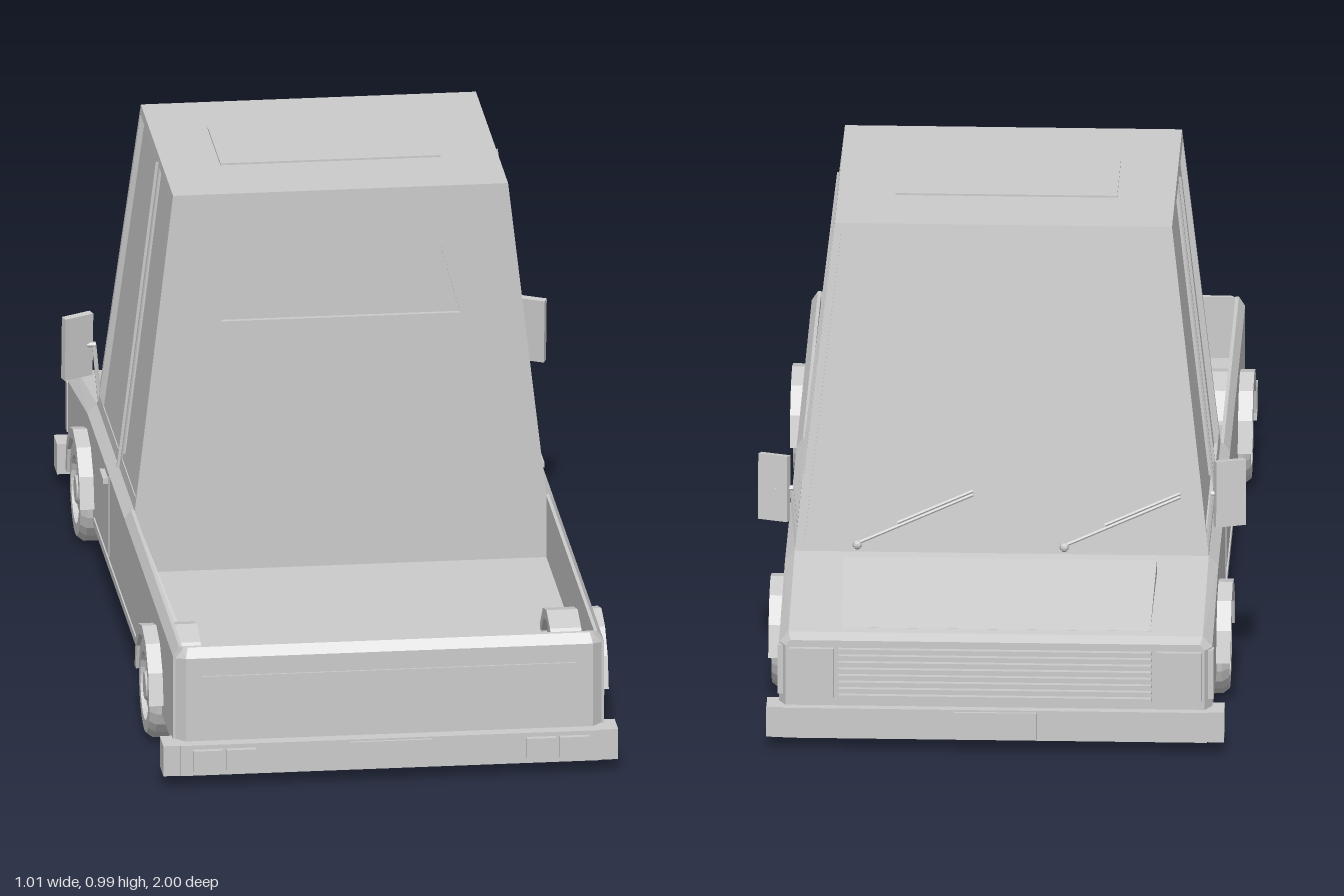
import * as THREE from 'three';
import { ConvexGeometry } from 'three/addons/geometries/ConvexGeometry.js';

const material = new THREE.MeshStandardMaterial({ color: 0xcccccc, flatShading: true });
const V = (x, y, z) => new THREE.Vector3(x, y, z);

export function createModel() {
  const model = new THREE.Group();

  const add = (name, geometry) => {
    const mesh = new THREE.Mesh(geometry, material);
    mesh.name = name;
    model.add(mesh);
    return mesh;
  };
  // Box given by its limits on each axis
  const box = (name, x0, x1, y0, y1, z0, z1) => {
    const g = new THREE.BoxGeometry(Math.abs(x1 - x0), y1 - y0, z1 - z0);
    return add(name, g.translate((x0 + x1) / 2, (y0 + y1) / 2, (z0 + z1) / 2));
  };
  const hull = (name, points) => add(name, new ConvexGeometry(points));
  // Mirrored hull: each [x, y, z] is used on both sides
  const symHull = (name, pts) => hull(name, pts.flatMap(([x, y, z]) => [V(x, y, z), V(-x, y, z)]));
  const outline = (pts) => pts.map(([a, b]) => new THREE.Vector2(a, b));
  // Thin wall with openings, its outer face on the plane spanned by u and v
  const panel = (name, origin, u, v, outer, holes, depth = 0.012) => {
    const shape = new THREE.Shape(outline(outer));
    holes.forEach((h) => shape.holes.push(new THREE.Path(outline(h))));
    const g = new THREE.ExtrudeGeometry(shape, { depth, bevelEnabled: false });
    g.translate(0, 0, -depth);
    v.normalize();
    const m = new THREE.Matrix4().makeBasis(u, v, u.clone().cross(v).normalize()).setPosition(origin);
    return add(name, g.applyMatrix4(m));
  };
  const rod = (name, a, b, r) =>
    add(name, new THREE.TubeGeometry(new THREE.LineCurve3(a, b), 1, r, 6));

  // Front body with sloping hood and chamfered shoulders
  symHull('frontBody', [
    [0.45, 0.08, 0.08], [0.45, 0.275, 0.08], [0.43, 0.295, 0.08],
    [0.45, 0.275, -0.6], [0.43, 0.295, -0.6],
    [0.45, 0.08, -0.95], [0.45, 0.225, -0.95], [0.43, 0.247, -0.95],
    [0.435, 0.08, -0.975], [0.435, 0.225, -0.975], [0.425, 0.237, -0.975],
  ]);
  symHull('hoodBulge', [
    [0.325, 0.27, -0.68], [0.325, 0.313, -0.68], [0.32, 0.25, -0.93], [0.32, 0.24, -0.93],
  ]);

  // Load bed
  box('bedFloor', -0.44, 0.44, 0.08, 0.16, 0.07, 0.94);
  symHull('tailgate', [
    [0.45, 0.08, 0.935], [0.45, 0.27, 0.935], [0.43, 0.295, 0.935],
    [0.425, 0.08, 0.96], [0.425, 0.275, 0.96], [0.42, 0.295, 0.945],
  ]);
  box('tailgatePanel', -0.39, 0.39, 0.13, 0.236, 0.95, 0.964);
  hull('bedBrace', [V(-0.43, 0.29, 0.1), V(-0.432, 0.16, 0.2), V(-0.375, 0.16, 0.52), V(-0.432, 0.16, 0.55)]);

  // Cab: recessed glass core with framed walls around it
  const top = 0.985, base = 0.295, H = top - base;
  symHull('cabGlass', [
    [0.418, base - 0.01, 0.07], [0.34, 0.975, 0.07], [0.418, base - 0.01, -0.588], [0.34, 0.975, -0.489],
  ]);
  symHull('roof', [
    [0.35, top, 0.08], [0.351, 0.974, 0.08], [0.35, top, -0.5], [0.351, 0.974, -0.5015],
  ]);
  box('sunroof', -0.23, 0.23, 0.98, 0.989, -0.33, -0.1);
  const L = Math.hypot(H, 0.08);
  for (const s of [1, -1]) {
    const flat = (pts) => pts.map(([z, h]) => [-s * z, h]);
    panel('cabSide', V(s * 0.43, base, 0), V(0, 0, -s), V(-s * 0.08, H, 0),
      flat([[0.08, 0], [-0.6, 0], [-0.5, L], [0.08, L]]),
      [flat([[0.068, 0.025], [-0.187, 0.025], [-0.157, L - 0.018], [0.068, L - 0.018]]),
        flat([[-0.215, 0.025], [-0.583, 0.025], [-0.488, L - 0.018], [-0.185, L - 0.018]])]);
    // Raised strip on the pillar between the side windows
    rod('pillarTrim', V(s * 0.43, base, -0.203), V(s * 0.352, 0.975, -0.17), 0.006);
  }
  const W = Math.hypot(H, 0.1);
  panel('windshieldFrame', V(0, base, -0.6), V(-1, 0, 0), V(0, H, 0.1),
    [[-0.43, 0], [0.43, 0], [0.35, W], [-0.35, W]],
    [[[-0.41, 0.02], [0.41, 0.02], [0.337, W - 0.018], [-0.337, W - 0.018]]]);
  panel('cabBack', V(0, 0, 0.08), V(1, 0, 0), V(0, 1, 0),
    [[-0.43, 0.15], [0.43, 0.15], [0.43, base], [0.35, top], [-0.35, top], [-0.43, base]],
    [[[-0.25, 0.705], [0.25, 0.705], [0.21, 0.85], [-0.21, 0.85]]]);

  // Wipers
  for (const x of [0.3, -0.13]) {
    const hub = V(x, 0.315, -0.603), tip = V(x - 0.24, 0.42, -0.588);
    rod('wiperArm', hub, tip, 0.004);
    rod('wiperBlade', hub.clone().lerp(tip, 0.35).add(V(0, 0.008, 0)), tip.clone().add(V(0, 0.008, 0)), 0.004);
    add('wiperHub', new THREE.SphereGeometry(0.01, 8, 6).translate(x, 0.312, -0.605));
  }

  // Wheel profile: radius, distance along the axle
  const wheelProfile = outline([
    [0, -0.05], [0.096, -0.05], [0.108, -0.038], [0.108, 0.036], [0.097, 0.05], [0.072, 0.05],
    [0.066, 0.036], [0.052, 0.036], [0.046, 0.043], [0.032, 0.043], [0.028, 0.05], [0, 0.05],
  ]);
  const arc = (r) => Array.from({ length: 7 }, (_, i) => [r * Math.cos(i * Math.PI / 6), r * Math.sin(i * Math.PI / 6)]);
  const archShape = new THREE.Shape(outline([...arc(0.132), ...arc(0.11).reverse()]));

  for (const s of [1, -1]) {
    // Bed side wall
    hull('bedSide', [0.07, 0.94].flatMap((z) => [
      V(s * 0.43, 0.08, z), V(s * 0.45, 0.08, z), V(s * 0.45, 0.275, z), V(s * 0.437, 0.295, z), V(s * 0.43, 0.295, z),
    ]));
    // Wheels and faceted arches
    for (const z of [0.64, -0.605]) {
      const wheel = add('wheel', new THREE.LatheGeometry(wheelProfile, 24).rotateZ(-s * Math.PI / 2));
      wheel.position.set(s * 0.425, 0.108, z);
      const arch = add('wheelArch', new THREE.ExtrudeGeometry(archShape, { depth: 0.115, bevelEnabled: false }).rotateY(Math.PI / 2));
      arch.position.set(s > 0 ? 0.365 : -0.48, 0.108, z);
    }
    // Door details
    box('sillStrip', s * 0.44, s * 0.453, 0.075, 0.092, -0.47, 0.51);
    box('doorSeam', s * 0.44, s * 0.452, 0.1, 0.275, -0.205, -0.2);
    box('doorHandle', s * 0.445, s * 0.461, 0.25, 0.262, -0.29, -0.225);
    // Side mirror
    const mirror = box('mirror', -0.033, 0.033, -0.07, 0.07, -0.008, 0.008);
    mirror.position.set(s * 0.473, 0.43, -0.585);
    mirror.rotation.set(0.1, -s * 0.4, 0);
    rod('mirrorStalk', V(s * 0.425, 0.3, -0.59), V(s * 0.437, 0.43, -0.59), 0.005);
    rod('mirrorArm', V(s * 0.434, 0.43, -0.59), V(s * 0.47, 0.43, -0.59), 0.006);
    // Lights
    box('headlight', s * 0.335, s * 0.428, 0.115, 0.222, -0.985, -0.96);
    box('cornerLight', s * 0.43, s * 0.453, 0.115, 0.222, -0.965, -0.945);
    for (const x of [0.282, 0.352]) box('tailLight', s * x, s * (x + 0.062), 0.04, 0.085, 0.98, 1);
    // Bumper ends
    box('rearBumperEnd', s * 0.43, s * 0.475, 0.028, 0.094, 0.92, 0.985);
    box('frontBumperEnd', s * 0.43, s * 0.475, 0.028, 0.094, -0.99, -0.93);
  }

  // Bumpers, plates and grille
  box('rearBumper', -0.44, 0.44, 0.028, 0.094, 0.94, 0.988);
  box('frontBumper', -0.44, 0.44, 0.028, 0.094, -0.994, -0.95);
  box('rearPlate', -0.086, 0.086, 0.031, 0.09, 0.98, 0.994);
  box('frontPlate', -0.086, 0.086, 0.031, 0.09, -1, -0.985);
  for (let i = 0; i < 8; i++) {
    const y = 0.112 + i * 0.0145;
    box('grilleSlat', -0.325, 0.325, y, y + 0.008, -0.986, -0.97);
  }
  return model;
}
